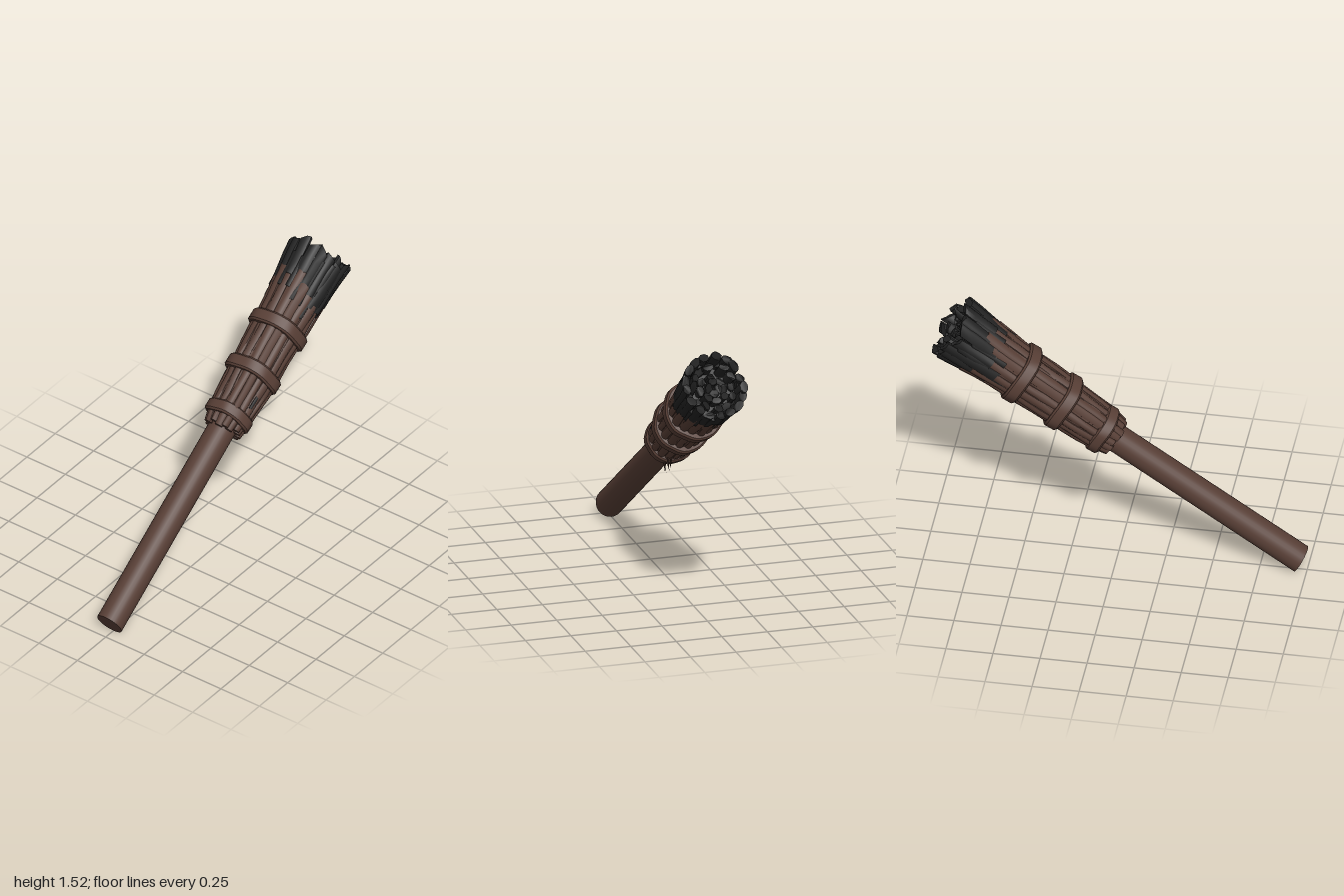
import * as THREE from 'three';
import { mergeGeometries, toCreasedNormals } from 'three/addons/utils/BufferGeometryUtils.js';

const wood = new THREE.MeshStandardMaterial({ color: 0x573e35 });
wood.name = 'brown wood';
const char = new THREE.MeshStandardMaterial({ color: 0x222222 });
char.name = 'charred black';

// Small seeded random: rnd(a, b) lies between a and b
let seed = 7;
function rnd(a, b) {
  seed = (seed * 16807) % 2147483647;
  return a + (b - a) * (seed / 2147483647);
}

// Outer radius of the bundle along its length
const profile = [[1.15, 0.1], [1.2, 0.112], [1.28, 0.126], [1.53, 0.142], [1.8, 0.148], [2.0, 0.16], [2.3, 0.184]];
function bundleRadius(t) {
  for (let i = 1; i < profile.length; i++) {
    const [t0, r0] = profile[i - 1], [t1, r1] = profile[i];
    if (t <= t1) return r0 + (r1 - r0) * (t - t0) / (t1 - t0);
  }
  return 0.184;
}
const drift = t => -0.02 * Math.max(0, t - 1.2);

// Closed strip from cross-section loops, running from t0 to t1 at one angle
function stick(angle, t0, t1, { width, depth, inset = 0, scale = 1, slant = 0, wobble = 0.003 }) {
  const sides = 8, rings = Math.max(3, Math.round((t1 - t0) / 0.09));
  const pos = [], index = [];
  const phase = rnd(0, 6);
  for (let i = 0; i <= rings; i++) {
    const f = i / rings, t = t0 + (t1 - t0) * f;
    const a = angle + Math.sin(t * 9 + phase) * wobble * 6;
    const radius = (bundleRadius(t) - inset) * scale - depth + Math.sin(t * 17 + phase) * wobble;
    const w = width * (0.9 + 0.35 * Math.max(0, t - 1.3)) * rnd(0.92, 1.08);
    for (let s = 0; s < sides; s++) {
      const b = s / sides * Math.PI * 2 + 0.39;
      const u = Math.cos(b) * w, v = Math.sin(b) * depth;
      const r = radius + v;
      const y = t + (i === rings ? slant * u / w + rnd(-0.008, 0.008) : 0);
      pos.push(drift(t) + Math.cos(a) * r - Math.sin(a) * u, y, Math.sin(a) * r + Math.cos(a) * u);
    }
  }
  for (let i = 0; i < rings; i++) {
    for (let s = 0; s < sides; s++) {
      const a = i * sides + s, b = i * sides + (s + 1) % sides;
      index.push(a, b, b + sides, a, b + sides, a + sides);
    }
  }
  const top = rings * sides;
  for (let s = 1; s < sides - 1; s++) {
    index.push(0, s + 1, s, top, top + s, top + s + 1);
  }
  const g = new THREE.BufferGeometry();
  g.setAttribute('position', new THREE.Float32BufferAttribute(pos, 3));
  g.setIndex(index);
  return toCreasedNormals(g, 0.85);
}

function addMesh(parent, name, geometry, material) {
  const mesh = new THREE.Mesh(geometry, material);
  mesh.name = name;
  parent.add(mesh);
  return mesh;
}

// Flat strap wound round the bundle, slightly uneven
function strap(radius, width) {
  const h = width / 2, c = 0.01, inner = radius - 0.035;
  const points = [[inner, -h], [radius - c, -h], [radius, -h + c], [radius, h - c], [radius - c, h], [inner, h], [inner, -h]]
    .map(([x, y]) => new THREE.Vector2(x, y));
  const g = new THREE.LatheGeometry(points, 40);
  const p = g.attributes.position;
  for (let i = 0; i < p.count; i++) {
    const a = Math.atan2(p.getZ(i), p.getX(i));
    const k = 1 + 0.015 * Math.sin(a * 5 + radius * 90) + 0.008 * Math.sin(a * 9);
    p.setXYZ(i, p.getX(i) * k, p.getY(i) + 0.004 * Math.sin(a * 3), p.getZ(i) * k);
  }
  return toCreasedNormals(g, 0.7);
}

export function createModel() {
  seed = 7;
  const model = new THREE.Group();
  model.name = 'torch';

  // Everything is built upright along y, then leaned over
  const torch = new THREE.Group();
  torch.name = 'leaningTorch';
  torch.rotation.z = -55.7 * Math.PI / 180;
  torch.position.set(-0.963, 0.065, 0);
  model.add(torch);

  // Handle with a slightly slanted foot
  const handle = new THREE.CylinderGeometry(0.075, 0.075, 1.3, 28);
  handle.translate(0, 0.65, 0);
  const foot = handle.attributes.position;
  for (let i = 0; i < foot.count; i++) {
    if (foot.getY(i) < 0.01) foot.setY(i, -0.005 - 0.1 * foot.getX(i));
  }
  addMesh(torch, 'handle', handle, wood);

  // Core filling the bundle behind the sticks
  const lower = new THREE.CylinderGeometry(0.118, 0.088, 0.75, 24);
  lower.translate(0, 1.585, 0);
  addMesh(torch, 'bundleCore', lower, wood);
  const upper = new THREE.CylinderGeometry(0.128, 0.118, 0.2, 24);
  upper.translate(-0.015, 2.05, 0);
  addMesh(torch, 'charredCore', upper, char);

  // Outer sticks: wood below, charred above; the burn reaches lower on the sides
  const woodParts = [], charParts = [];
  const count = 17;
  for (let i = 0; i < count; i++) {
    const angle = (i + rnd(-0.15, 0.15)) / count * Math.PI * 2;
    const burn = 1.95 + 0.12 * Math.abs(Math.cos(angle)) + rnd(-0.04, 0.04);
    const tip = rnd(2.215, 2.275);
    const shape = { width: rnd(0.021, 0.026), depth: 0.019 };
    woodParts.push(stick(angle, rnd(1.185, 1.21), burn + 0.03, { ...shape, inset: rnd(0, 0.006) }));
    charParts.push(stick(angle, burn, tip, { width: shape.width * 1.1, depth: 0.022, slant: rnd(-0.02, 0.02) }));
    // Shorter stick lying in the gap
    const gap = angle + Math.PI / count;
    woodParts.push(stick(gap, 1.21, burn + 0.04, { width: 0.016, depth: 0.016, inset: 0.014 }));
    charParts.push(stick(gap, burn - 0.07, rnd(2.15, 2.24),
      { width: 0.021, depth: 0.02, inset: 0.006, slant: rnd(-0.015, 0.015) }));
  }
  // Inner charred sticks
  for (const [n, scale] of [[12, 0.76], [8, 0.5], [4, 0.28]]) {
    for (let i = 0; i < n; i++) {
      charParts.push(stick((i + rnd(-0.2, 0.2)) / n * Math.PI * 2, 2.0, rnd(2.17, 2.26),
        { width: 0.023, depth: 0.02, scale, slant: rnd(-0.025, 0.025) }));
    }
  }
  addMesh(torch, 'woodSticks', mergeGeometries(woodParts), wood);
  addMesh(torch, 'charredSticks', mergeGeometries(charParts), char);

  // Burnt gap low on the front
  addMesh(torch, 'burntGap', stick(1.95, 1.345, 1.41, { width: 0.011, depth: 0.008, inset: 0.003 }), char);

  // Three straps, each a little tilted
  [[1.275, 0.132, 0.07, 0.08], [1.53, 0.156, 0.075, 0.07], [1.8, 0.165, 0.075, 0.07]].forEach(([t, r, w, tilt]) => {
    const band = addMesh(torch, 'strap', strap(r, w), wood);
    band.position.set(drift(t), t, 0);
    band.rotation.z = -tilt;
  });

  // Loose fibres hanging under the lowest strap
  for (let i = 0; i < 6; i++) {
    const fibre = addMesh(torch, 'looseFibre', new THREE.ConeGeometry(0.006, 0.07, 5), wood);
    fibre.position.set(0.13 + rnd(0, 0.015), 1.24 + i * 0.015, rnd(-0.02, 0.05));
    fibre.rotation.z = -rnd(1.2, 2.6);
  }
  return model;
}
